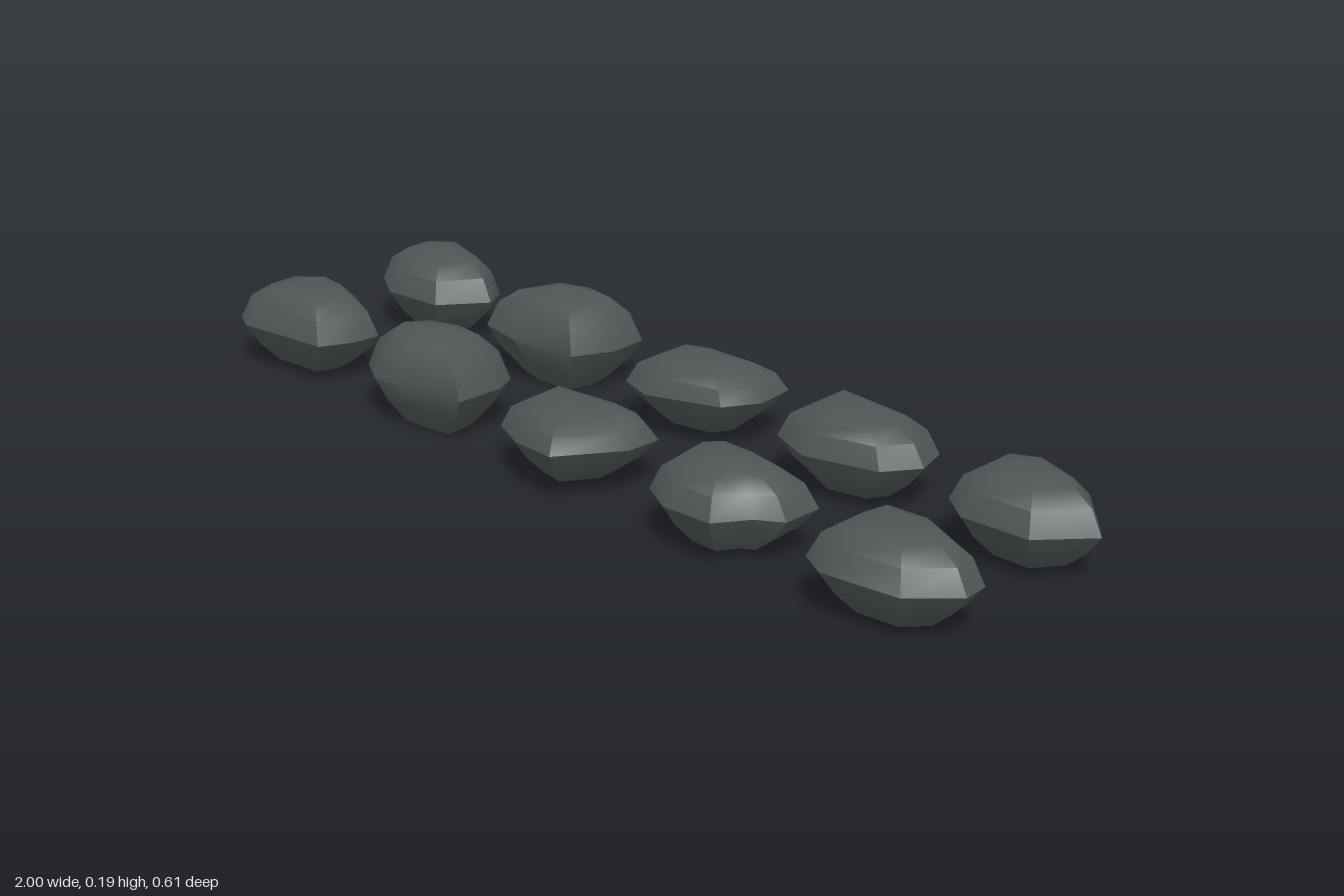
import * as THREE from 'three';
import { toCreasedNormals } from 'three/addons/utils/BufferGeometryUtils.js';

// Each stone: widest outline seen from above as [x, z] points
const frontRow = [
  [[-1, .13], [-.92, .05], [-.81, .06], [-.69, .11], [-.68, .18], [-.7, .26], [-.81, .27], [-.92, .285], [-.985, .25]],
  [[-.6, .17], [-.55, .09], [-.44, .05], [-.32, .06], [-.28, .12], [-.26, .245], [-.4, .27], [-.49, .275], [-.575, .225]],
  [[-.17, .08], [.08, .05], [.14, .08], [.155, .17], [.08, .305], [-.04, .285], [-.15, .23]],
  [[.25, .11], [.29, .055], [.415, .055], [.565, .08], [.58, .18], [.53, .215], [.495, .29], [.375, .29], [.285, .24]],
  [[.68, .16], [.69, .065], [.84, .05], [.985, .11], [1, .175], [.93, .265], [.76, .285], [.69, .245]],
];
const backRow = [
  [[-.99, -.235], [-.91, -.305], [-.72, -.25], [-.68, -.19], [-.735, -.08], [-.88, -.07], [-.98, -.13]],
  [[-.585, -.1], [-.54, -.26], [-.425, -.3], [-.3, -.285], [-.275, -.185], [-.3, -.085], [-.46, -.07]],
  [[-.17, -.25], [-.09, -.285], [.12, -.295], [.155, -.185], [.12, -.105], [-.055, -.065], [-.16, -.11]],
  [[.245, -.295], [.54, -.275], [.58, -.185], [.54, -.105], [.38, -.065], [.26, -.12]],
  [[.68, -.255], [.77, -.305], [.94, -.25], [1, -.185], [.925, -.075], [.77, -.07], [.69, -.13]],
];
// Bottom and top height and sideways tilt for each column
const columns = [
  { low: .02, high: .182, tilt: .02 },
  { low: .003, high: .192, tilt: .02 },
  { low: .03, high: .16, tilt: .06 },
  { low: .022, high: .175, tilt: .03 },
  { low: .02, high: .18, tilt: .02 },
];
// Cross-section rings from bottom to top: [outline scale, level], level 0 is the widest ring
const rings = [[.52, -1], [.8, -.52], [1, 0], [.84, .6], [.58, .92], [.3, 1]];

function stoneGeometry(outline, { low, high, tilt }) {
  const n = outline.length;
  const mid = k => {
    const v = outline.map(p => p[k]);
    return (Math.min(...v) + Math.max(...v)) / 2;
  };
  const cx = mid(0), cz = mid(1), waist = .095;
  const positions = [], index = [];
  for (const [scale, level] of rings) {
    const y = waist + level * (level > 0 ? high - waist : waist - low);
    const lean = 1 - Math.abs(level);
    for (const [px, pz] of outline) {
      const dx = (px - cx) * scale, dz = (pz - cz) * scale;
      positions.push(cx + dx, y + lean * (tilt * 1.5 * dx + .07 * dz), cz + dz);
    }
  }
  // walls between rings
  for (let r = 0; r < rings.length - 1; r++) {
    for (let i = 0; i < n; i++) {
      const a = r * n + i, b = r * n + (i + 1) % n;
      index.push(a, a + n, b, b, a + n, b + n);
    }
  }
  // bottom and top caps
  const bottom = positions.length / 3, top = bottom + 1;
  positions.push(cx, low, cz, cx, high, cz);
  const last = (rings.length - 1) * n;
  for (let i = 0; i < n; i++) {
    const j = (i + 1) % n;
    index.push(bottom, i, j, top, last + j, last + i);
  }
  const geometry = new THREE.BufferGeometry();
  geometry.setAttribute('position', new THREE.Float32BufferAttribute(positions, 3));
  geometry.setIndex(index);
  return toCreasedNormals(geometry, .75);
}

export function createModel() {
  const model = new THREE.Group();
  model.name = 'stones';
  const stoneGrey = new THREE.MeshStandardMaterial({ color: 0x4f5555 });
  stoneGrey.name = 'stoneGrey';
  for (const [rowName, row] of [['frontStone', frontRow], ['backStone', backRow]]) {
    row.forEach((outline, i) => {
      const stone = new THREE.Mesh(stoneGeometry(outline, columns[i]), stoneGrey);
      stone.name = rowName + (i + 1);
      model.add(stone);
    });
  }
  // rest the lowest stone on the ground
  model.position.y = -new THREE.Box3().setFromObject(model).min.y;
  return model;
}
